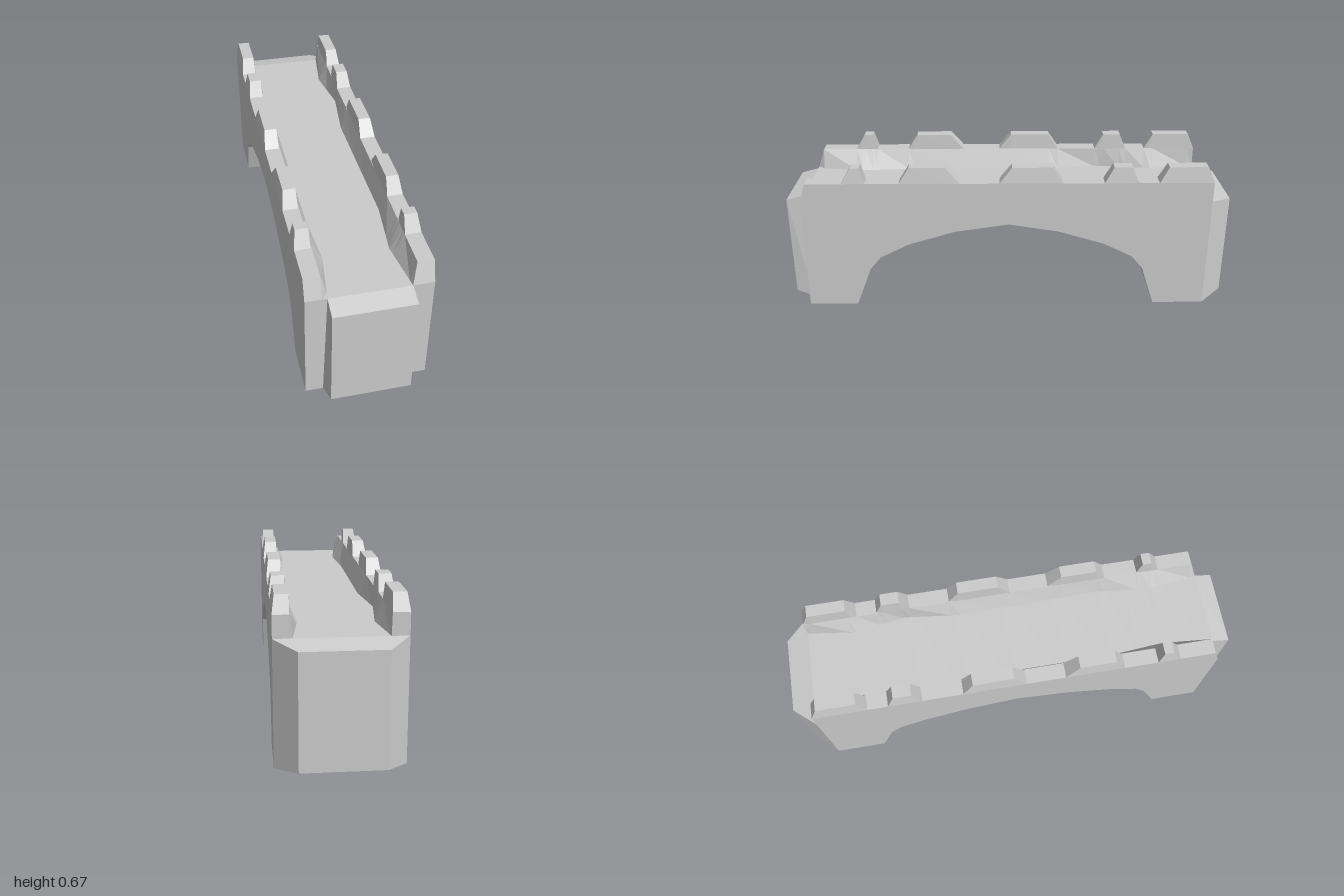
import * as THREE from 'three';

const DECK = 0.51, HALF = 0.255, WALL = 0.6, TOP = 0.67, BACK = -0.9, FRONT = 0.92;

// Piecewise linear profiles along z, as [z, value]
const arch = [[-0.67, 0], [-0.61, 0.18], [-0.56, 0.24], [-0.43, 0.305], [-0.22, 0.368], [0, 0.403],
  [0.24, 0.368], [0.45, 0.305], [0.58, 0.24], [0.63, 0.18], [0.7, 0]];
const soffit = [[-0.67, 0], [-0.645, 0.18], [-0.595, 0.265], [-0.44, 0.34], [-0.22, 0.4], [0, 0.437],
  [0.24, 0.4], [0.46, 0.34], [0.615, 0.265], [0.665, 0.18], [0.7, 0]];
const leftFoot = [[-0.9, 0.18], [-0.68, 0.15], [-0.45, 0.185], [-0.2, 0.155], [0.45, 0.163], [0.7, 0.137], [0.92, 0.167]];
const rightFoot = [[-0.9, 0.185], [-0.69, 0.155], [-0.45, 0.185], [-0.2, 0.155], [0.45, 0.155], [0.7, 0.137], [0.92, 0.167]];

// Battlements: slope start, top start, top end, slope end
const merlons = [[-0.9, -0.87, -0.7, -0.66], [-0.57, -0.54, -0.46, -0.42], [-0.24, -0.195, -0.015, 0.04],
  [0.215, 0.275, 0.435, 0.48], [0.63, 0.65, 0.69, 0.73]];
const crest = merlons.flatMap(([a, b, c, d]) => [[a, WALL], [b, TOP], [c, TOP], [d, WALL]]);
crest.push([0.89, WALL], [FRONT, DECK]);

function sample(profile, z) {
  if (z <= profile[0][0]) return profile[0][1];
  for (let i = 1; i < profile.length; i++) {
    const [z0, v0] = profile[i - 1], [z1, v1] = profile[i];
    if (z <= z1) return v0 + (v1 - v0) * (z - z0) / (z1 - z0);
  }
  return profile[profile.length - 1][1];
}

const stations = (...profiles) =>
  [...new Set([BACK, FRONT, ...profiles.flat().map((p) => p[0])])].sort((a, b) => a - b);

// Solid through cross-sections {z, loop}; loops run counter-clockwise seen from +z
function loft(name, sections, material) {
  const pos = [], n = sections[0].loop.length;
  const put = (s, j) => pos.push(...s.loop[j % n], s.z);
  for (let i = 0; i + 1 < sections.length; i++) {
    const a = sections[i], b = sections[i + 1];
    for (let j = 0; j < n; j++) {
      put(a, j); put(a, j + 1); put(b, j + 1);
      put(a, j); put(b, j + 1); put(b, j);
    }
  }
  const first = sections[0], last = sections[sections.length - 1];
  for (let j = 1; j + 1 < n; j++) {
    put(first, 0); put(first, j + 1); put(first, j);
    put(last, 0); put(last, j); put(last, j + 1);
  }
  const geometry = new THREE.BufferGeometry();
  geometry.setAttribute('position', new THREE.Float32BufferAttribute(pos, 3));
  geometry.computeVertexNormals();
  const mesh = new THREE.Mesh(geometry, material);
  mesh.name = name;
  return mesh;
}

// Four-sided section: bottom and top half widths and heights
const slab = (z, wBottom, wTop, y0, y1) =>
  ({ z, loop: [[-wBottom, y0], [wBottom, y0], [wTop, y1], [-wTop, y1]] });

export function createModel() {
  const group = new THREE.Group();
  group.name = 'bridge';
  const stone = new THREE.MeshStandardMaterial({ color: 0xcccccc, flatShading: true });

  // Arched body with a recessed soffit between two rims
  const body = stations(arch, soffit).map((z) => {
    const rim = sample(arch, z), inner = Math.max(rim, sample(soffit, z));
    return { z, loop: [[-HALF, DECK], [-HALF, rim], [-0.185, rim], [-0.168, inner],
      [0.168, inner], [0.185, rim], [HALF, rim], [HALF, DECK]] };
  });
  group.add(loft('archedBody', body, stone));

  // Battlemented parapets with an uneven sloping inner foot
  for (const [name, side, foot] of [['leftParapet', 1, leftFoot], ['rightParapet', -1, rightFoot]]) {
    const sections = stations(crest, foot).map((z) => {
      const top = sample(crest, z), shoulder = Math.min(WALL, top);
      const outer = HALF - 0.01 * Math.max(0, (top - WALL) / (TOP - WALL));
      const loop = [[sample(foot, z), DECK], [HALF, DECK], [HALF, shoulder],
        [outer, top], [0.191, top], [0.187, shoulder]].map(([x, y]) => [x * side, y]);
      return { z, loop: side > 0 ? loop : loop.reverse() };
    });
    group.add(loft(name, sections, stone));
  }

  // Tapered end blocks
  group.add(loft('frontEnd', [slab(FRONT, 0.182, 0.167, 0, DECK), slab(1, 0.167, 0.167, 0.022, 0.488)], stone));
  group.add(loft('backEnd', [slab(-1, 0.167, 0.167, 0.022, 0.488), slab(BACK, HALF, HALF, 0, DECK)], stone));
  return group;
}
